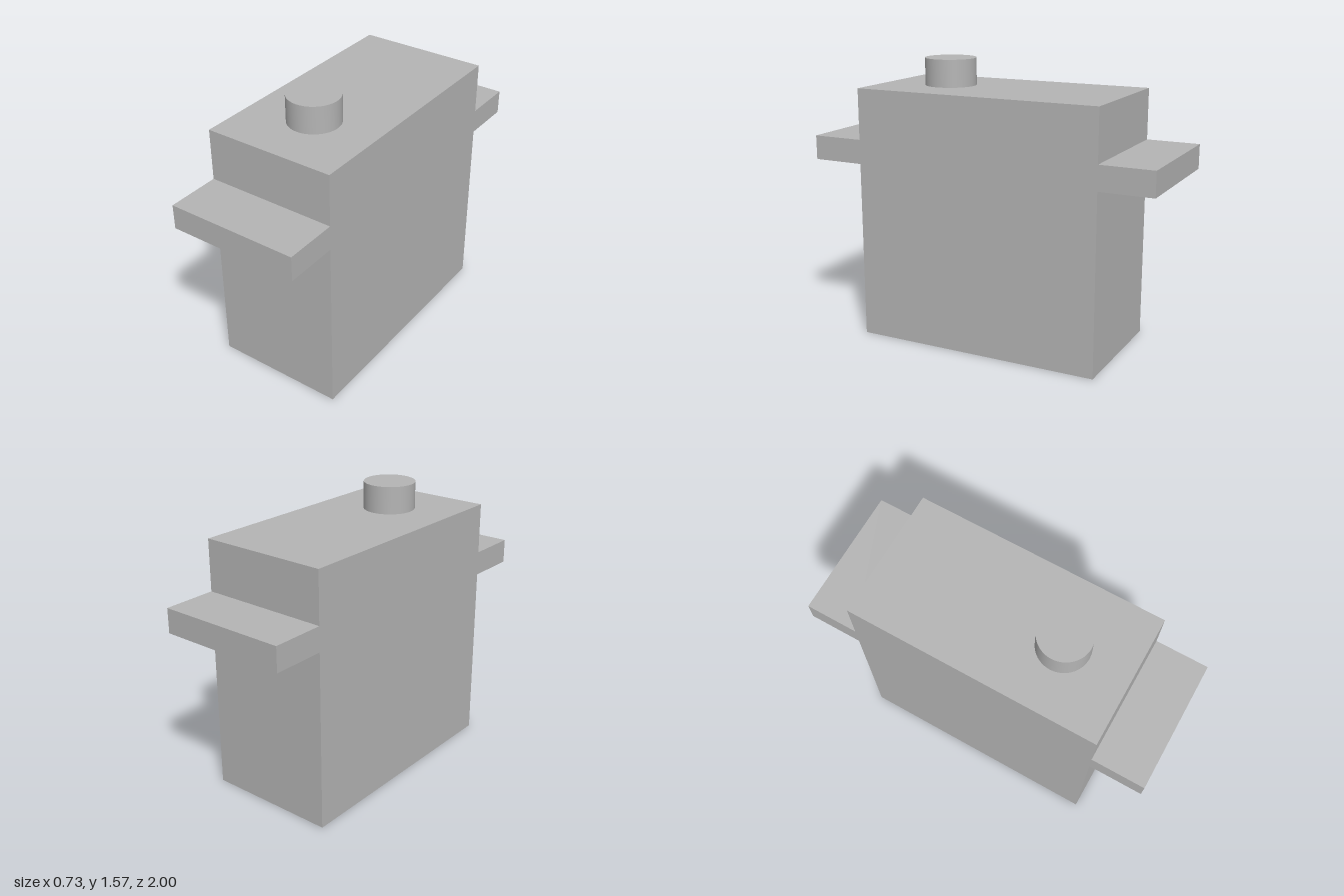
import * as THREE from 'three';

const HALF_WIDTH = 0.367;
const HALF_DEPTH = 0.703;
const HEIGHT = 1.418;
const TAB = { bottom: 0.997, top: 1.133, reach: 1 };
const SHAFT = { radius: 0.143, top: 1.57, z: 0.328 };

export function createModel() {
  const group = new THREE.Group();
  group.name = 'servoMotor';
  const grey = new THREE.MeshStandardMaterial({ color: 0xb4b4b4 });
  grey.name = 'light grey';

  const add = (name, geometry, x, y, z) => {
    const mesh = new THREE.Mesh(geometry, grey);
    mesh.name = name;
    mesh.position.set(x, y, z);
    group.add(mesh);
  };

  // Main housing
  add('housing', new THREE.BoxGeometry(HALF_WIDTH * 2, HEIGHT, HALF_DEPTH * 2), 0, HEIGHT / 2, 0);

  // Mounting tabs at the front and back, as wide as the housing
  const tabDepth = TAB.reach - HALF_DEPTH;
  for (const side of [1, -1]) {
    add(
      side > 0 ? 'frontMountingTab' : 'backMountingTab',
      new THREE.BoxGeometry(HALF_WIDTH * 2, TAB.top - TAB.bottom, tabDepth),
      0, (TAB.top + TAB.bottom) / 2, side * (HALF_DEPTH + tabDepth / 2)
    );
  }

  // Output shaft standing on the top face, towards the front
  const shaftHeight = SHAFT.top - HEIGHT;
  add(
    'outputShaft',
    new THREE.CylinderGeometry(SHAFT.radius, SHAFT.radius, shaftHeight, 64),
    0, HEIGHT + shaftHeight / 2, SHAFT.z
  );

  return group;
}
